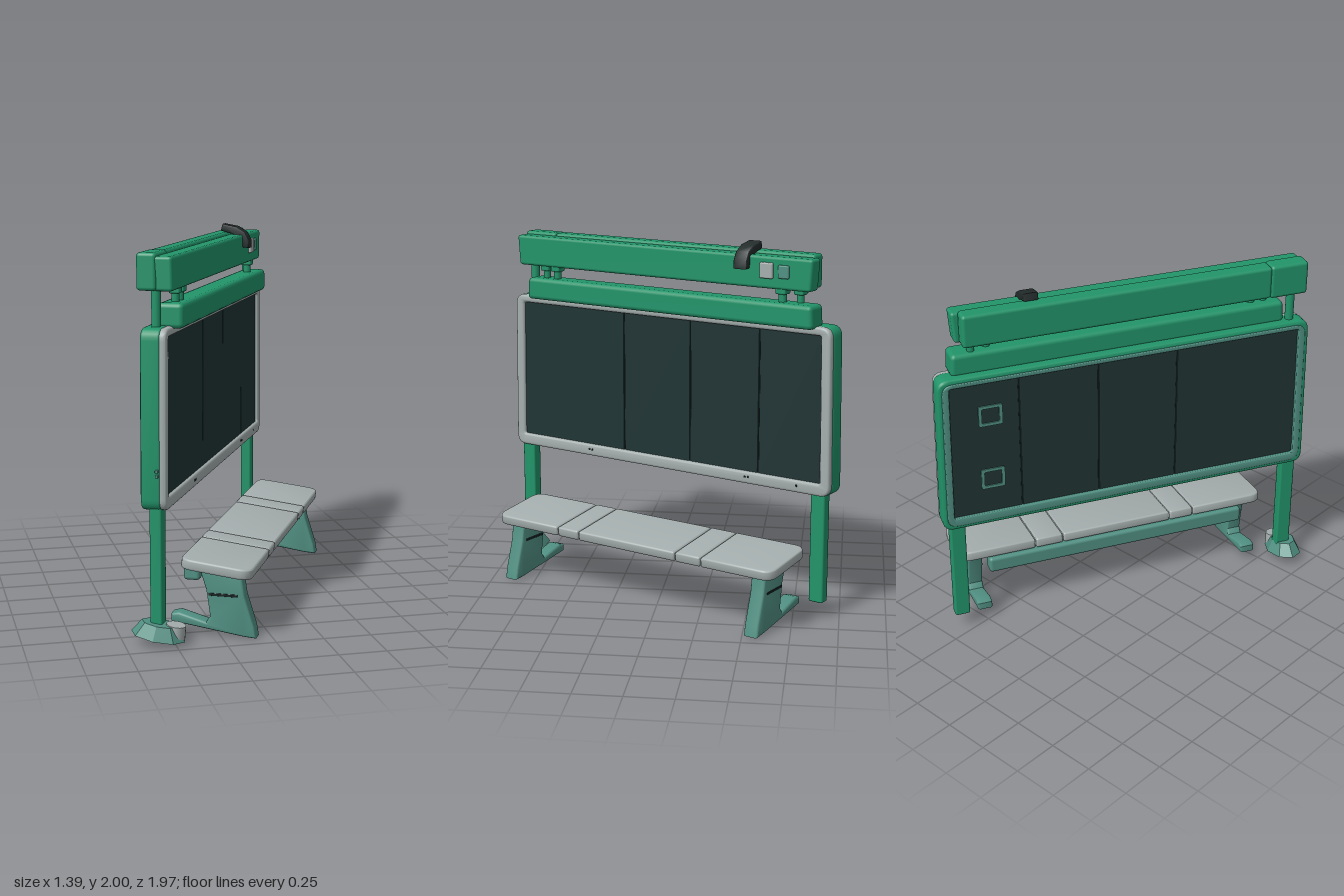
import * as THREE from 'three';
import { RoundedBoxGeometry } from 'three/addons/geometries/RoundedBoxGeometry.js';
import { toCreasedNormals } from 'three/addons/utils/BufferGeometryUtils.js';

const material = (name, color) => {
  const m = new THREE.MeshStandardMaterial({ color });
  m.name = name;
  return m;
};

// Rounded rectangle outline, with separate radii for its two x ends
function roundRect(shape, x0, x1, y0, y1, r0, r1 = r0) {
  shape.moveTo(x0 + r0, y0);
  shape.lineTo(x1 - r1, y0);
  shape.quadraticCurveTo(x1, y0, x1, y0 + r1);
  shape.lineTo(x1, y1 - r1);
  shape.quadraticCurveTo(x1, y1, x1 - r1, y1);
  shape.lineTo(x0 + r0, y1);
  shape.quadraticCurveTo(x0, y1, x0, y1 - r0);
  shape.lineTo(x0, y0 + r0);
  shape.quadraticCurveTo(x0, y0, x0 + r0, y0);
  return shape;
}

function extrude(shape, depth, bevel) {
  const g = new THREE.ExtrudeGeometry(shape, {
    depth: depth - 2 * bevel, bevelEnabled: bevel > 0, bevelThickness: bevel,
    bevelSize: bevel, bevelOffset: -bevel, bevelSegments: 3, curveSegments: 6,
  });
  g.translate(0, 0, bevel);
  return toCreasedNormals(g, 0.6);
}

export function createModel() {
  const green = material('green', 0x22946a);
  const grey = material('light grey', 0xa5aeae);
  const teal = material('teal', 0x519083);
  const dark = material('dark panel', 0x203434);
  const seam = material('seam', 0x142222);
  const black = material('black', 0x232b2b);

  const root = new THREE.Group();
  root.name = 'benchAndBoard';
  // The whole assembly stands diagonally: x runs along it, z is its front
  const body = new THREE.Group();
  body.name = 'assembly';
  body.rotation.y = 1.096;
  root.add(body);

  const add = (name, geo, mat, parent = body) => {
    const m = new THREE.Mesh(geo, mat);
    m.name = name;
    parent.add(m);
    return m;
  };
  // Rounded box given by its limits
  const box = (name, mat, [x0, x1], [y0, y1], [z0, z1], r = 0.01, parent = body) => {
    const g = new RoundedBoxGeometry(x1 - x0, y1 - y0, z1 - z0, 2, r);
    g.translate((x0 + x1) / 2, (y0 + y1) / 2, (z0 + z1) / 2);
    return add(name, g, mat, parent);
  };
  // Widen a geometry slightly towards the bottom (or top, if k < 0)
  const taper = (g, cx, top, k) => {
    const p = g.attributes.position;
    for (let i = 0; i < p.count; i++) {
      p.setX(i, cx + (p.getX(i) - cx) * (1 + k * (top - p.getY(i))));
    }
    return g;
  };
  // Side profile of [z, y] points, extruded along x around centre cx
  const profile = (name, mat, points, cx, width, bevel) => {
    const s = new THREE.Shape(points.map(([z, y]) => new THREE.Vector2(z, y)));
    const g = extrude(s, width, bevel);
    g.rotateY(-Math.PI / 2);
    g.translate(cx + width / 2, 0, 0);
    return add(name, g, mat);
  };

  // Display case: green shell, grey front frame, teal back frame
  const ring = (name, mat, inset, z0, z1, bevel, hole) => {
    const s = roundRect(new THREE.Shape(), -1.08 + inset, 1.005 - inset, 0.69 + inset, 1.595 - inset, 0.06);
    s.holes.push(roundRect(new THREE.Path(), ...hole, 0.012));
    const g = extrude(s, z1 - z0, bevel);
    g.translate(0, 0, z0);
    return add(name, taper(g, -0.037, 1.59, 0.014), mat);
  };
  const opening = [-1.02, 0.945, 0.76, 1.548];
  ring('caseShell', green, 0, -0.188, -0.085, 0.014, [-1.03, 0.955, 0.75, 1.555]);
  ring('frontFrame', grey, 0.002, -0.1, -0.056, 0.014, opening);
  ring('backFrame', teal, 0.022, -0.194, -0.165, 0.006, opening);

  // Dark panels with narrow seams between them
  box('panelCore', seam, [-1.035, 0.96], [0.745, 1.56], [-0.168, -0.08], 0.004);
  const joints = [-1.035, -0.312, 0.134, 0.573, 0.96];
  for (let i = 0; i < 4; i++) {
    box('panel', dark, [joints[i] + 0.003, joints[i + 1] - 0.003], [0.745, 1.56], [-0.174, -0.073], 0.003);
  }

  // Square outlines on the back
  for (const y of [0.967, 1.35]) {
    const s = roundRect(new THREE.Shape(), 0.665, 0.795, y - 0.06, y + 0.06, 0.012);
    s.holes.push(roundRect(new THREE.Path(), 0.682, 0.778, y - 0.043, y + 0.043, 0.008));
    const g = extrude(s, 0.008, 0);
    g.translate(0, 0, -0.181);
    add('backOutline', g, teal);
  }

  // Small fixings on the lower frame and the left end
  for (const x of [-0.55, -0.53, 0.5, 0.52, 0.82]) {
    box('frameBolt', seam, [x - 0.005, x + 0.005], [0.726, 0.737], [-0.06, -0.053], 0.002);
  }
  for (const y of [0.87, 0.895]) {
    box('endBolt', teal, [-1.105, -1.07], [y - 0.008, y + 0.008], [-0.11, -0.094], 0.004);
  }

  // Main posts
  for (const x of [-1.03, 0.932]) {
    box('post', green, [x - 0.042, x + 0.042], [0.09, 0.72], [-0.15, -0.088], 0.01);
  }

  // Foot under the left post
  const foot = new THREE.CylinderGeometry(0.09, 0.135, 0.07, 8);
  foot.scale(0.72, 1, 1.05);
  const footMesh = add('postFoot', toCreasedNormals(foot, 0.3), teal);
  footMesh.position.set(-1.05, 0.075, -0.11);
  footMesh.rotation.x = 0.15;
  const cap = add('postFootCap', new THREE.CylinderGeometry(0.05, 0.055, 0.075, 20), grey);
  cap.position.set(-1.035, 0.066, -0.03);
  cap.rotation.x = 0.15;

  // Lower beam in front of the case top
  const lower = box('lowerBeam', green, [-0.945, 0.912], [1.58, 1.705], [-0.14, -0.005], 0.024);
  taper(lower.geometry, -0.016, 1.705, 0.06);

  // Upper beam: front half, back half and left end cap
  const upperFront = box('upperBeamFront', green, [-1.04, 0.9], [1.77, 1.94], [-0.13, -0.035], 0.016);
  taper(upperFront.geometry, -0.07, 1.94, -0.08);
  box('upperBeamBack', green, [-0.832, 0.865], [1.775, 1.955], [-0.215, -0.122], 0.018);
  box('upperBeamCap', green, [-1.042, -0.826], [1.772, 1.957], [-0.216, -0.115], 0.018);
  box('upperBeamCore', green, [-1.0, 0.84], [1.79, 1.925], [-0.19, -0.06], 0.01);

  // Short struts between the beams
  for (const [x, z, r, y0] of [[-0.985, -0.13, 0.024, 1.57], [-0.85, -0.07, 0.02, 1.68],
    [-0.775, -0.07, 0.022, 1.68], [0.71, -0.07, 0.022, 1.68], [0.8, -0.1, 0.02, 1.68]]) {
    const g = new THREE.CylinderGeometry(r, r, 1.8 - y0, 14);
    g.translate(x, (1.8 + y0) / 2, z);
    add('strut', g, green);
    if (y0 > 1.6) box('strutCollar', green, [x - r - 0.008, x + r + 0.008], [1.745, 1.785], [z - r - 0.008, z + r + 0.008], 0.008);
  }

  // Buttons on the upper beam
  box('largeButton', grey, [0.594, 0.672], [1.825, 1.908], [-0.05, -0.018], 0.008);
  box('smallButton', teal, [0.702, 0.766], [1.83, 1.9], [-0.05, -0.024], 0.008);

  // Curved black clip over the upper beam
  profile('clip', black, [[-0.165, 1.962], [-0.155, 2.0], [-0.075, 1.985], [-0.025, 1.955],
    [0.0, 1.91], [0.0, 1.865], [-0.045, 1.87], [-0.06, 1.92], [-0.1, 1.945]], 0.488, 0.08, 0.006);

  // Bench seat, tipped gently forward
  const seat = new THREE.Group();
  seat.name = 'seat';
  seat.position.set(0, 0.365, 0.145);
  seat.rotation.x = 0.12;
  body.add(seat);
  const cuts = [-0.93, -0.49, -0.345, 0.302, 0.464, 0.905];
  for (let i = 0; i < 5; i++) {
    const s = roundRect(new THREE.Shape(), cuts[i] + 0.003, cuts[i + 1] - 0.003, -0.187, 0.187,
      i === 0 ? 0.07 : 0.012, i === 4 ? 0.07 : 0.012);
    const g = extrude(s, 0.055, 0.01);
    g.rotateX(-Math.PI / 2);
    g.translate(0, -0.0275, 0);
    add('seatSection', g, grey, seat);
  }
  box('seatCore', grey, [-0.88, 0.86], [-0.02, 0.017], [-0.175, 0.175], 0.006, seat);

  // Stretcher under the back of the seat
  box('stretcher', teal, [-0.79, 0.74], [0.26, 0.352], [-0.055, 0.03], 0.018);

  // Bench legs with feet running backwards
  for (const x of [-0.825, 0.79]) {
    profile('benchLeg', teal, [[0.05, 0.35], [0.27, 0.325], [0.285, 0.22], [0.335, 0.06], [0.345, 0.0],
      [0.28, 0.005], [-0.1, 0.06], [-0.1, 0.1], [-0.06, 0.11], [0.085, 0.07], [0.105, 0.1], [0.085, 0.24]], x, 0.085, 0.012);
    for (const side of [-1, 1]) {
      const xf = x + side * 0.0425;
      box('legSlot', seam, [xf - 0.003, xf + 0.003], [0.212, 0.226], [0.1, 0.25], 0.002);
    }
  }

  return root;
}
